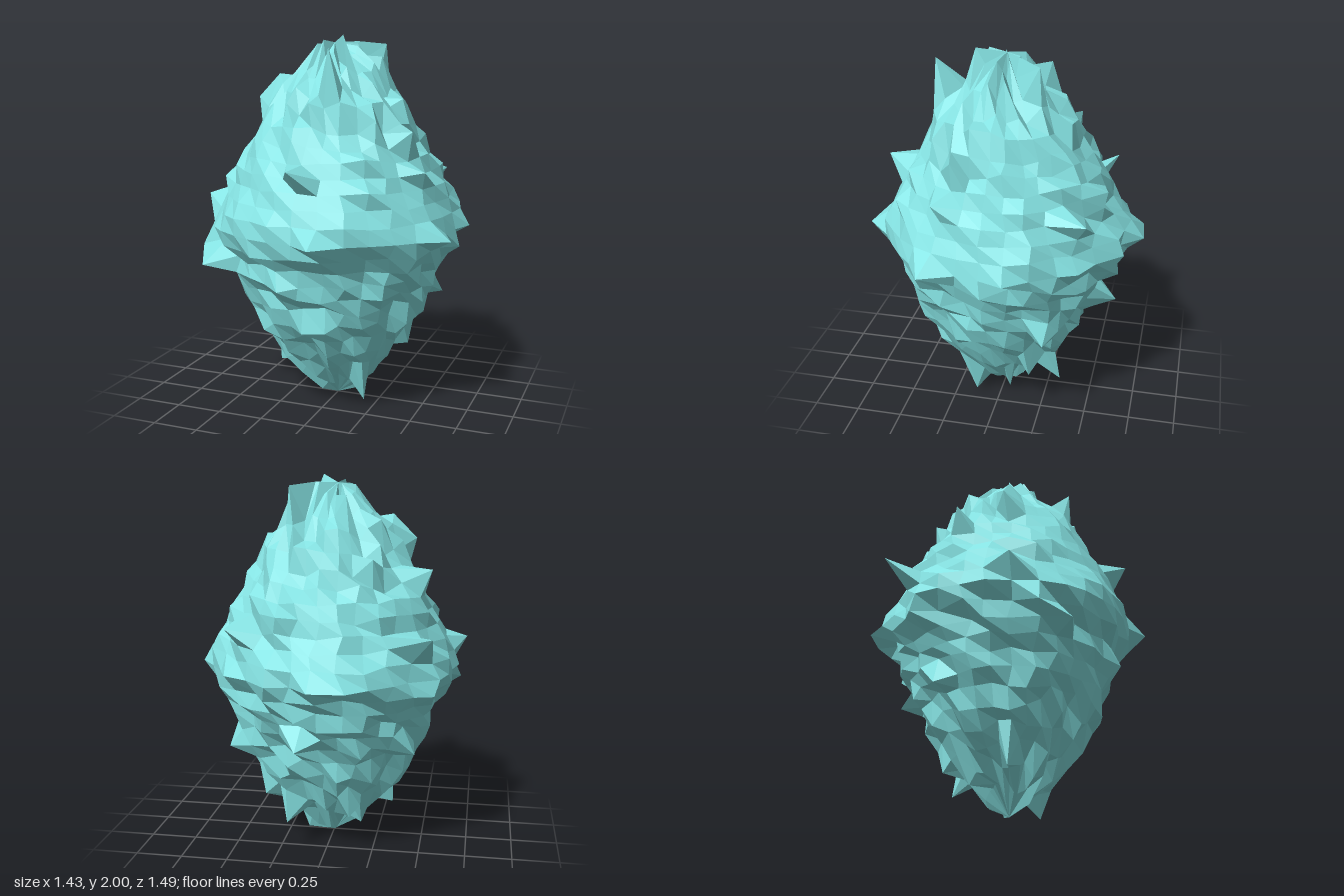
import * as THREE from 'three';

const COLS = 32, ROWS = 24;

// Mean radius by elevation angle (degrees), measured from the body's middle
const PROFILE = [
  [-90, 0.98], [-82, 0.9], [-75, 0.83], [-63, 0.74], [-49, 0.67], [-34, 0.61], [-20, 0.595], [-10, 0.62],
  [0, 0.665], [9, 0.65], [19, 0.615], [34, 0.62], [48, 0.65], [58, 0.72], [66, 0.765], [72, 0.79],
  [78, 0.87], [84, 0.93], [90, 0.96],
];

// Tips of the larger spikes
const SPIKES = [
  [0.08, 2.0, 0.14], [0.08, 1.94, 0.35], [0.2, 1.95, -0.21],
  [0.71, 1.0, 0.3], [0.12, 1.0, 0.74], [-0.17, 1.0, -0.74], [0.24, 1.0, -0.67], [0.48, 1.25, -0.5],
  [-0.72, 1.13, 0.13], [-0.69, 0.87, 0.27], [-0.62, 0.79, 0.42], [-0.57, 1.24, -0.55],
  [-0.02, 1.36, 0.66], [0.56, 1.33, 0.26], [0.2, 1.33, -0.57], [-0.54, 1.53, -0.18],
  [0.39, 1.68, 0.1], [-0.44, 1.67, 0.05], [0.1, 0.66, -0.63], [0.52, 0.57, -0.3],
  [0.2, 0.03, 0.13], [-0.33, 0.17, 0.05], [0.2, 0.17, -0.35], [0.35, 0.27, -0.2],
];

function meanRadius(deg) {
  const k = Math.max(1, PROFILE.findIndex(([d]) => d >= deg - 1e-3));
  const [a, ra] = PROFILE[k - 1], [b, rb] = PROFILE[k];
  return THREE.MathUtils.lerp(ra, rb, (deg - a) / (b - a));
}

// Repeatable noise in -0.5..0.5 per grid point
function noise(i, j, seed) {
  let h = Math.imul(i + 1, 374761393) ^ Math.imul(j + 1, 668265263) ^ Math.imul(seed, 1274126177);
  h = Math.imul(h ^ (h >>> 15), 2246822519);
  h = Math.imul(h ^ (h >>> 13), 3266489917);
  return ((h ^ (h >>> 16)) >>> 0) / 4294967296 - 0.5;
}

function createBody() {
  const geometry = new THREE.SphereGeometry(1, COLS, ROWS);
  const pos = geometry.attributes.position;
  const dirs = [], v = new THREE.Vector3();

  // Push every point out to the profile, with rough jitter and a few short spurs
  for (let n = 0; n < pos.count; n++) {
    const row = Math.floor(n / (COLS + 1));
    const pole = row === 0 || row === ROWS;
    const col = (n % (COLS + 1)) % COLS;
    const deg = 90 - (row * 180) / ROWS;
    dirs.push(new THREE.Vector3().fromBufferAttribute(pos, n));
    if (pole) {
      pos.setXYZ(n, deg > 0 ? -0.02 : 0, deg > 0 ? 1.96 : 0, 0);
      continue;
    }
    // The upper front is smoother than the rest
    const calm = deg >= 0 && deg < 45 && dirs[n].z > -0.2 ? 0.5 : 1;
    const tilt = deg + (row === ROWS / 2 ? 0 : calm * 2.5 * noise(col, row, 3));
    let r = meanRadius(tilt) * (1 + calm * 0.12 * noise(col, row, 1));
    if (noise(col, row, 2) > 0.42) r *= 1.07;
    const turn = (col / COLS) * 2 * Math.PI + calm * 0.08 * noise(col, row, 4);
    const e = THREE.MathUtils.degToRad(tilt);
    v.set(-Math.cos(turn) * Math.cos(e), Math.sin(e), Math.sin(turn) * Math.cos(e)).multiplyScalar(r);
    pos.setXYZ(n, v.x, THREE.MathUtils.clamp(1 + v.y, 0.03, 1.98), v.z);
  }

  // Pull the nearest grid point out to each spike tip
  for (const [x, y, z] of SPIKES) {
    const aim = new THREE.Vector3(x, y - 1, z).normalize();
    const best = dirs.reduce((a, d) => (d.dot(aim) > a.dot(aim) ? d : a));
    dirs.forEach((d, n) => {
      if (d.distanceTo(best) < 1e-4) pos.setXYZ(n, x, y, z);
    });
  }
  geometry.computeVertexNormals();
  return geometry;
}

export function createModel() {
  const group = new THREE.Group();
  group.name = 'spikyRock';
  const material = new THREE.MeshStandardMaterial({ color: 0x86e4e4, flatShading: true });
  const body = new THREE.Mesh(createBody(), material);
  body.name = 'rockBody';
  group.add(body);
  return group;
}
